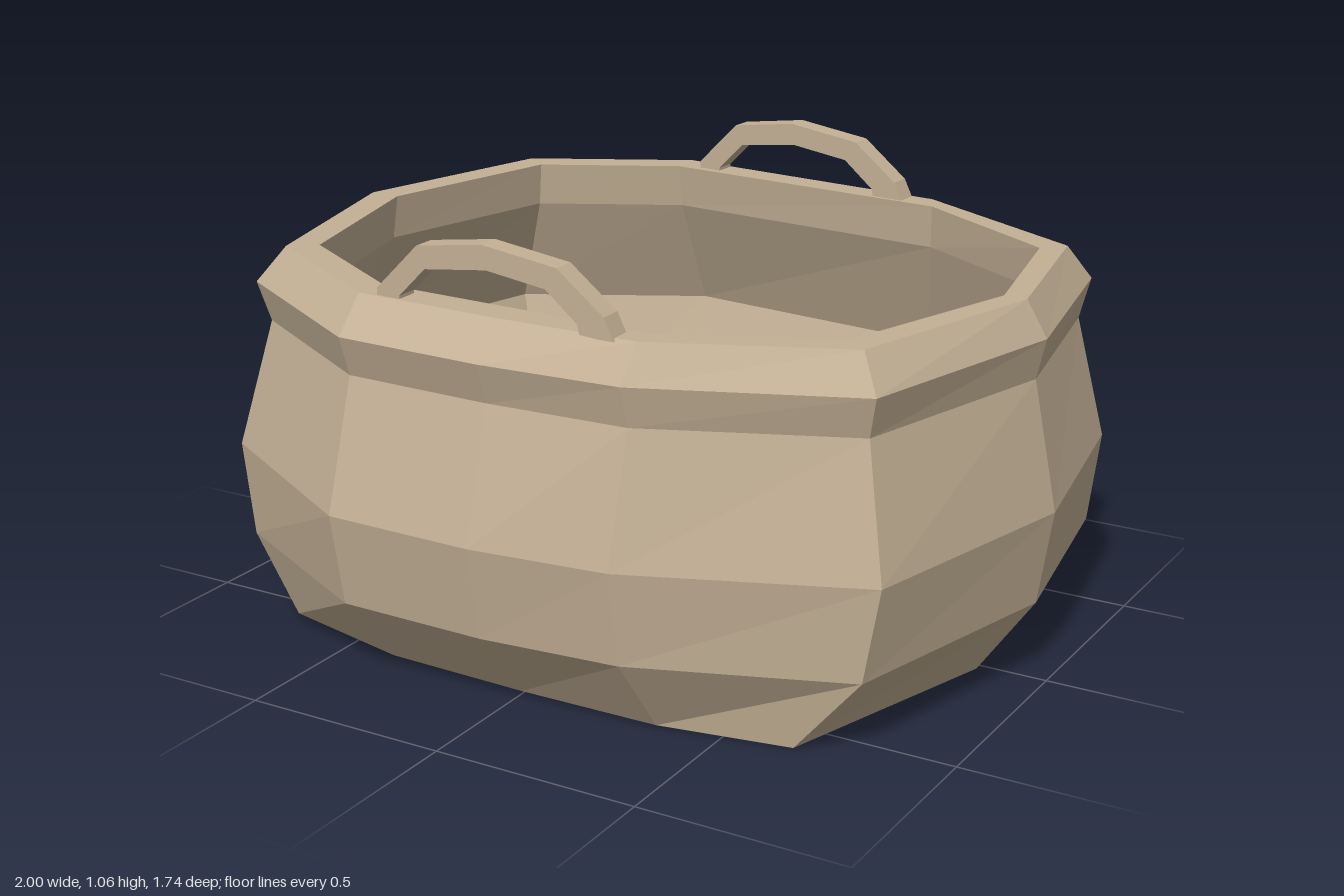
import * as THREE from 'three';

// Matching plan outlines [x, z]: the narrow lip, the wide belly and the squarer base
const LIP = [[-0.8, 0], [-0.68, 0.47], [-0.36, 0.655], [0, 0.655], [0.35, 0.655], [0.71, 0.47],
  [0.855, 0], [0.77, -0.41], [0.39, -0.63], [-0.36, -0.66], [-0.68, -0.48]];
const BELLY = [[-1, 0], [-0.84, 0.6], [-0.37, 0.868], [0, 0.868], [0.33, 0.825], [0.86, 0.6],
  [1, 0], [0.9, -0.55], [0.31, -0.81], [-0.37, -0.87], [-0.84, -0.6]];
const BASE = [[-0.8, 0], [-0.7, 0.59], [-0.36, 0.665], [0, 0.67], [0.35, 0.66], [0.66, 0.6],
  [0.835, 0.02], [0.76, -0.54], [0.37, -0.64], [-0.36, -0.66], [-0.78, -0.48]];
const N = LIP.length;

// One cross-section: blend of an inner outline and the belly at a height, leaning slightly
function ring(t, y, inner = LIP) {
  return inner.map(([x, z], i) => {
    const px = x + (BELLY[i][0] - x) * t;
    return [px, y - 0.01 * px, z + (BELLY[i][1] - z) * t];
  });
}

// Skin a stack of cross-sections, optionally closing the first or last one
function skin(rings, capStart, capEnd) {
  const pos = [];
  const tri = (a, b, c) => pos.push(...a, ...b, ...c);
  for (let r = 0; r < rings.length - 1; r++) {
    const a = rings[r], b = rings[r + 1];
    for (let i = 0; i < N; i++) {
      const j = (i + 1) % N;
      tri(a[i], a[j], b[j]);
      tri(a[i], b[j], b[i]);
    }
  }
  const first = rings[0], last = rings[rings.length - 1];
  for (let i = 0; i < N; i++) {
    const j = (i + 1) % N;
    if (capStart) tri(first[j], first[i], [0, first[0][1] - 0.008, 0]);
    if (capEnd) tri(last[i], last[j], [0, last[0][1] - 0.008, 0]);
  }
  const geo = new THREE.BufferGeometry();
  geo.setAttribute('position', new THREE.Float32BufferAttribute(pos, 3));
  geo.computeVertexNormals();
  return geo;
}

// Faceted arch with a rectangular section
function handleGeometry() {
  const shape = new THREE.Shape([
    [-0.31, 0.9], [-0.31, 0.93], [-0.2, 1.04], [-0.03, 1.065], [0.16, 1.04], [0.275, 0.95], [0.3, 0.9],
    [0.215, 0.9], [0.21, 0.925], [0.13, 0.99], [-0.02, 1.01], [-0.18, 0.99], [-0.25, 0.92], [-0.25, 0.9],
  ].map(([x, y]) => new THREE.Vector2(x, y)));
  const geo = new THREE.ExtrudeGeometry(shape, { depth: 0.055, bevelEnabled: false });
  return geo.translate(0, 0, -0.0275);
}

export function createModel() {
  const group = new THREE.Group();
  const clay = new THREE.MeshStandardMaterial({ color: 0xc3b095 });
  clay.name = 'clay';
  const add = (name, geo) => {
    const mesh = new THREE.Mesh(geo, clay);
    mesh.name = name;
    group.add(mesh);
    return mesh;
  };

  const neck = ring(0.58, 0.73), lip = ring(0, 0.91), throat = ring(0.08, 0.8);

  // Outer wall with closed base
  add('body', skin([ring(0, 0.01, BASE), ring(0.8, 0.2, BASE), ring(1, 0.425), neck], true, false));
  // Flared collar around the opening
  add('rim', skin([neck, ring(0.73, 0.826), ring(0.38, 0.91), lip, throat], false, false));
  // Hollow interior down to the floor
  add('inside', skin([throat, ring(0.75, 0.51), ring(0.03, 0.1)], false, true));

  // Pair of arched handles on the rim
  const handle = handleGeometry();
  add('frontHandle', handle).position.set(-0.008, 0, 0.703);
  const back = add('backHandle', handle);
  back.position.set(0.005, 0, -0.688);
  back.rotation.y = -0.06;

  return group;
}
